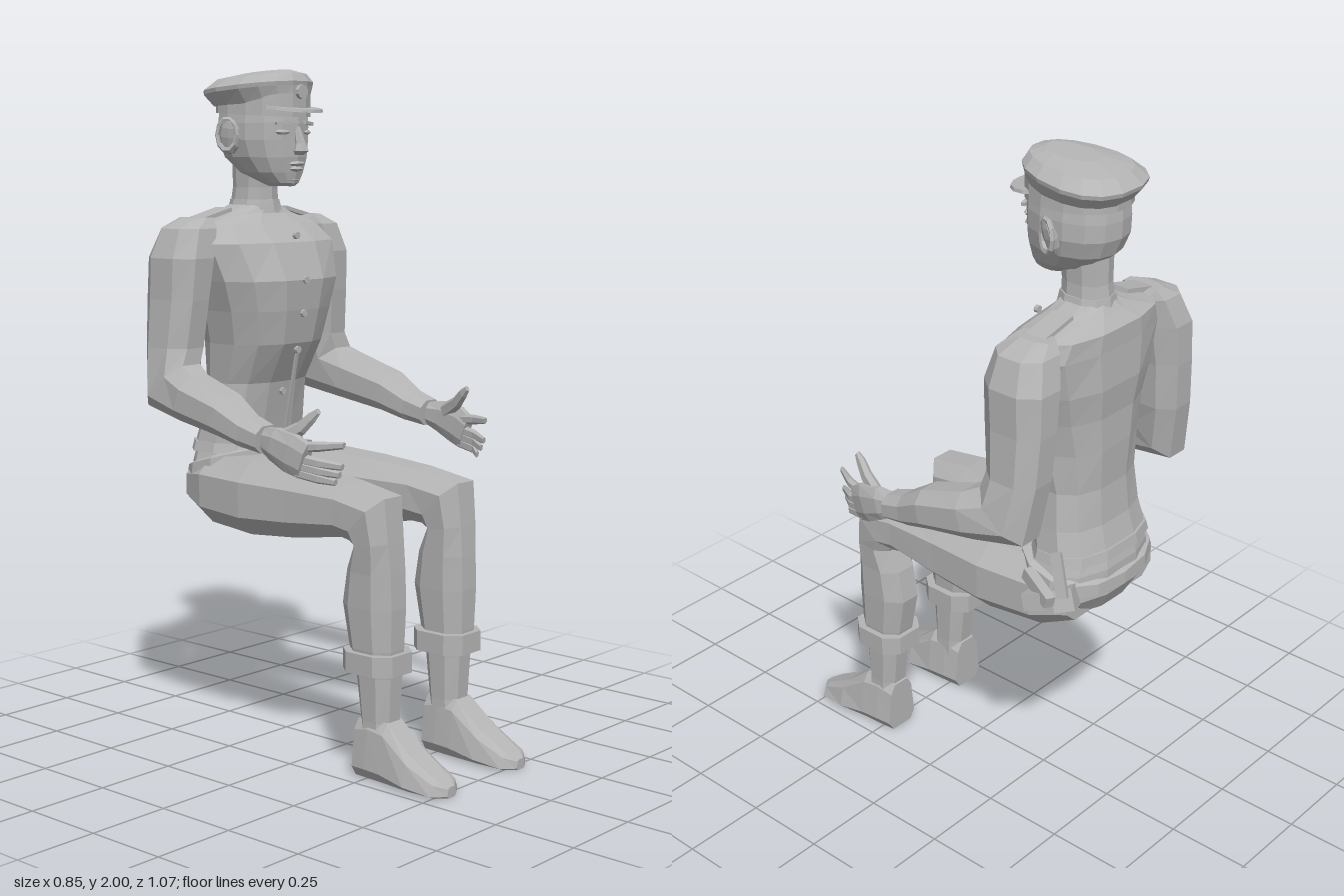
import * as THREE from 'three';

const grey = new THREE.MeshStandardMaterial({ color: 0xb4b4b4 });
grey.name = 'plain grey';

// Rings swept down or forward. Row: [x, y, z, half width, half depth, tilt in degrees].
// Tilt 0 faces the ring's front to +z, tilt 90 faces it up. taper narrows the front side.
function loft(rows, { n = 8, power = 0.85, taper = 0, side = 1, turn = 0.5 } = {}) {
  const pos = [], idx = [];
  const round = v => Math.sign(v) * Math.pow(Math.abs(v), power);
  for (const [x, y, z, a, b, tilt = 0] of rows) {
    const t = THREE.MathUtils.degToRad(tilt);
    for (let j = 0; j < n; j++) {
      const q = (j + turn) / n * Math.PI * 2;
      const u = round(Math.cos(q)), v = round(Math.sin(q));
      pos.push(x * side + a * u * (1 - taper * v), y + b * v * Math.sin(t), z + b * v * Math.cos(t));
    }
  }
  const last = rows.length - 1, c0 = rows.length * n, c1 = c0 + 1;
  for (const r of [rows[0], rows[last]]) pos.push(r[0] * side, r[1], r[2]);
  for (let j = 0; j < n; j++) {
    const k = (j + 1) % n;
    for (let i = 0; i < last; i++) {
      const a = i * n + j, b = i * n + k;
      idx.push(a, b, b + n, a, b + n, a + n);
    }
    idx.push(c0, k, j, c1, last * n + j, last * n + k);
  }
  const g = new THREE.BufferGeometry();
  g.setAttribute('position', new THREE.Float32BufferAttribute(pos, 3));
  g.setIndex(idx);
  return g;
}

export function createModel() {
  const model = new THREE.Group();
  model.name = 'seatedOfficer';

  // Adds a flat-faceted mesh
  function add(name, geo, p = [0, 0, 0], r = [0, 0, 0], s = [1, 1, 1]) {
    const flat = geo.index ? geo.toNonIndexed() : geo;
    flat.computeVertexNormals();
    const m = new THREE.Mesh(flat, grey);
    m.name = name;
    m.position.set(...p);
    m.rotation.set(...r);
    m.scale.set(...s);
    model.add(m);
    return m;
  }
  const box = (w, h, d) => new THREE.BoxGeometry(w, h, d);

  // Tunic with sloping shoulders, full chest and narrow waist
  add('tunic', loft([
    [0, 1.61, -0.375, 0.065, 0.07], [0, 1.585, -0.38, 0.13, 0.085],
    [0, 1.555, -0.38, 0.235, 0.115], [0, 1.5, -0.35, 0.265, 0.145],
    [0, 1.39, -0.33, 0.235, 0.17], [0, 1.3, -0.33, 0.205, 0.16],
    [0, 1.2, -0.34, 0.18, 0.15], [0, 1.08, -0.37, 0.165, 0.115],
    [0, 0.97, -0.385, 0.178, 0.11], [0, 0.88, -0.405, 0.192, 0.115],
  ], { n: 12, power: 0.8 }));
  add('tunicHem', loft([[0, 0.9, -0.405, 0.192, 0.116], [0, 0.87, -0.405, 0.2, 0.122]], { n: 12, power: 0.8 }));
  add('collar', loft([[0, 1.625, -0.372, 0.064, 0.076], [0, 1.585, -0.372, 0.075, 0.083]], { n: 10 }));
  add('placket', box(0.012, 0.46, 0.006), [0.012, 1.15, -0.215], [0.2, 0, 0]);

  // Buttons follow the chest line
  for (const [y, z] of [[1.52, -0.2], [1.39, -0.163], [1.29, -0.172], [1.18, -0.197], [1.05, -0.26]])
    add('button', new THREE.CylinderGeometry(0.011, 0.011, 0.012, 8), [0, y, z], [Math.PI / 2, 0, 0]);

  // Hips and belt, lower at the back
  add('hips', loft([
    [0, 0.91, -0.4, 0.18, 0.105], [0, 0.84, -0.39, 0.205, 0.135],
    [0, 0.76, -0.4, 0.21, 0.128], [0, 0.7, -0.395, 0.15, 0.1], [0, 0.67, -0.38, 0.075, 0.07],
  ], { n: 12 }));
  add('belt', loft([
    [0, 0.855, -0.395, 0.2, 0.13, 16], [0, 0.848, -0.395, 0.217, 0.145, 16],
    [0, 0.812, -0.395, 0.22, 0.147, 16], [0, 0.805, -0.395, 0.2, 0.13, 16],
  ], { n: 14 }));
  add('beltPouch', box(0.07, 0.065, 0.06), [0.2, 0.795, -0.48], [0.3, 0.5, 0.15]);
  add('beltPouchSmall', box(0.05, 0.05, 0.06), [0.255, 0.79, -0.42], [0.3, 0.2, 0.1]);
  add('holsterGrip', box(0.018, 0.13, 0.03), [0.235, 0.885, -0.485], [0.25, 0.4, 0.1]);
  add('holsterFlap', box(0.03, 0.035, 0.13), [0.245, 0.825, -0.42], [-0.25, -0.35, 0]);

  // Neck and head
  add('neck', loft([[0, 1.74, -0.365, 0.06, 0.075], [0, 1.66, -0.37, 0.057, 0.07], [0, 1.59, -0.375, 0.064, 0.075]], { n: 10 }));
  add('head', loft([
    [0, 1.92, -0.335, 0.108, 0.14], [0, 1.85, -0.335, 0.118, 0.146],
    [0, 1.8, -0.335, 0.118, 0.144], [0, 1.75, -0.325, 0.106, 0.133],
    [0, 1.705, -0.3, 0.082, 0.1], [0, 1.675, -0.265, 0.05, 0.058], [0, 1.665, -0.26, 0.035, 0.04],
  ], { n: 14, power: 0.9 }));
  add('nose', loft([
    [0, 1.84, -0.197, 0.01, 0.008], [0, 1.79, -0.185, 0.014, 0.018],
    [0, 1.768, -0.182, 0.023, 0.024], [0, 1.756, -0.19, 0.016, 0.012],
  ], { n: 6, turn: 0 }));
  add('upperLip', new THREE.OctahedronGeometry(1, 1), [0, 1.731, -0.196], [0, 0, 0], [0.034, 0.008, 0.013]);
  add('lowerLip', new THREE.OctahedronGeometry(1, 1), [0, 1.716, -0.199], [0, 0, 0], [0.028, 0.009, 0.013]);
  add('chin', new THREE.OctahedronGeometry(1, 1), [0, 1.683, -0.226], [0, 0, 0], [0.035, 0.02, 0.022]);

  // Peaked cap
  add('capCrown', loft([
    [0, 2.0, -0.31, 0.05, 0.08, 4], [0, 1.985, -0.335, 0.11, 0.145, 4],
    [0, 1.957, -0.345, 0.145, 0.168, 5], [0, 1.945, -0.345, 0.143, 0.165, 5], [0, 1.905, -0.335, 0.116, 0.15, 2],
  ], { n: 16, taper: 0.14 }));
  add('capBand', loft([[0, 1.93, -0.335, 0.112, 0.153, 2], [0, 1.875, -0.335, 0.115, 0.151, -3]], { n: 16 }));
  add('capPeak', new THREE.CylinderGeometry(0.1, 0.103, 0.009, 16), [0, 1.894, -0.225], [0.12, 0, 0], [1, 1, 0.93]);
  add('capBadge', new THREE.CylinderGeometry(0.021, 0.021, 0.012, 10), [0, 1.94, -0.177], [Math.PI / 2, 0, 0]);

  for (const side of [1, -1]) {
    const limb = (name, rows, opts) => add(name, loft(rows, { side, ...opts }));

    // Eyes, brows and ears
    add('eye', new THREE.OctahedronGeometry(1, 1), [side * 0.05, 1.823, -0.206], [0, side * 0.3, 0], [0.025, 0.009, 0.01]);
    add('brow', box(0.052, 0.009, 0.012), [side * 0.052, 1.85, -0.2], [0, side * 0.3, side * -0.08]);
    add('ear', new THREE.SphereGeometry(1, 8, 6), [side * 0.13, 1.81, -0.345], [0.15, side * -0.4, side * -0.2], [0.016, 0.055, 0.034]);
    add('earRim', new THREE.TorusGeometry(0.036, 0.008, 5, 10), [side * 0.143, 1.815, -0.345],
      [0, side * (Math.PI / 2 - 0.4), 0], [0.85, 1.25, 1]);

    // Shoulder strap
    add('shoulderStrap', box(0.15, 0.012, 0.065), [side * 0.19, 1.579, -0.385], [0, 0, side * -0.24]);

    // Bent sleeve and cuff
    limb('sleeve', [
      [0.23, 1.575, -0.385, 0.035, 0.06], [0.262, 1.545, -0.385, 0.08, 0.085],
      [0.29, 1.46, -0.39, 0.084, 0.106], [0.3, 1.34, -0.395, 0.074, 0.103],
      [0.31, 1.2, -0.4, 0.075, 0.092], [0.33, 1.09, -0.385, 0.078, 0.105, 40],
      [0.35, 1.062, -0.28, 0.078, 0.074, 72], [0.358, 1.026, -0.13, 0.072, 0.063, 76],
      [0.36, 0.988, -0.045, 0.055, 0.048, 78],
    ]);
    limb('cuff', [[0.36, 0.99, -0.05, 0.055, 0.048, 80], [0.36, 0.973, 0.022, 0.051, 0.041, 84]]);

    // Hand held thumb upward, fingers curling inward
    limb('palm', [
      [0.36, 0.973, 0.01, 0.025, 0.034, 85], [0.368, 0.965, 0.06, 0.026, 0.05, 75],
      [0.367, 0.945, 0.12, 0.024, 0.06, 70], [0.358, 0.925, 0.165, 0.02, 0.055, 70],
    ]);
    limb('thumb', [
      [0.36, 0.98, 0.08, 0.018, 0.025, 110], [0.345, 1.015, 0.14, 0.016, 0.02, 125],
      [0.335, 1.045, 0.17, 0.013, 0.016, 130], [0.33, 1.063, 0.19, 0.008, 0.009, 120],
    ], { n: 6 });
    const fingers = [[0.963, 0.975, 0.27], [0.932, 0.915, 0.265], [0.912, 0.892, 0.255], [0.892, 0.87, 0.24]];
    for (const [y, tipY, tipZ] of fingers) limb('finger', [
      [0.36, y, 0.14, 0.014, 0.016, 80], [0.347, (y + tipY) / 2, 0.205, 0.013, 0.015, 80],
      [0.316, tipY, tipZ, 0.008, 0.01, 80],
    ], { n: 6 });

    // Thigh, knee and shin in one bent sweep
    limb('trouserLeg', [
      [0.12, 0.765, -0.48, 0.08, 0.07, 90], [0.133, 0.762, -0.38, 0.112, 0.11, 90],
      [0.145, 0.757, -0.2, 0.118, 0.118, 90], [0.15, 0.76, -0.02, 0.104, 0.106, 90],
      [0.158, 0.765, 0.16, 0.088, 0.083, 86], [0.163, 0.75, 0.25, 0.085, 0.1, 45],
      [0.163, 0.68, 0.265, 0.077, 0.068, 8], [0.16, 0.6, 0.253, 0.073, 0.086],
      [0.16, 0.5, 0.246, 0.071, 0.097], [0.16, 0.38, 0.255, 0.065, 0.083],
      [0.156, 0.3, 0.262, 0.057, 0.068], [0.155, 0.17, 0.266, 0.053, 0.056], [0.155, 0.1, 0.27, 0.055, 0.058],
    ]);
    limb('trouserCuff', [
      [0.158, 0.372, 0.256, 0.06, 0.078], [0.158, 0.372, 0.256, 0.084, 0.097],
      [0.158, 0.312, 0.256, 0.084, 0.097], [0.158, 0.312, 0.256, 0.057, 0.07],
    ], { power: 0.7 });

    // Shoe: flat sole, narrow instep, blunt pointed toe
    limb('shoe', [
      [0.157, 0.085, 0.208, 0.053, 0.085, 90], [0.157, 0.092, 0.26, 0.06, 0.092, 90],
      [0.157, 0.088, 0.32, 0.064, 0.088, 90], [0.16, 0.05, 0.41, 0.068, 0.05, 90],
      [0.16, 0.024, 0.5, 0.058, 0.024, 90], [0.16, 0.016, 0.53, 0.018, 0.016, 90],
    ], { power: 0.5, taper: 0.18 });
  }
  return model;
}
